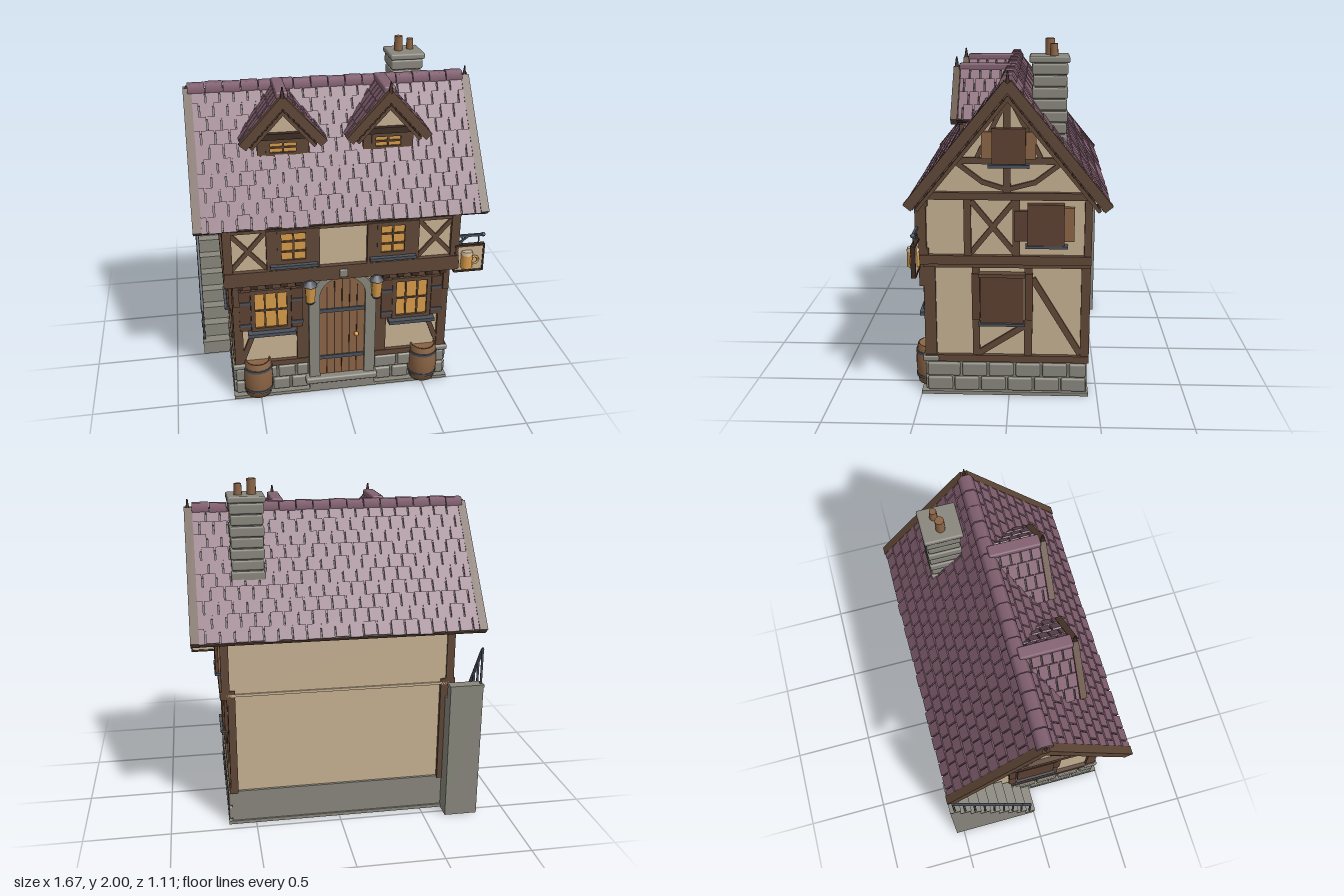
import * as THREE from 'three';
import { mergeGeometries } from 'three/addons/utils/BufferGeometryUtils.js';
import { RoundedBoxGeometry } from 'three/addons/geometries/RoundedBoxGeometry.js';

const M = {};
for (const [name, color] of Object.entries({
  plaster: 0xc6b092, timber: 0x5f4737, darkTimber: 0x3d2c22, panel: 0x5c4031, roofTile: 0x826070,
  stone: 0x88867c, wood: 0x8a6344, amber: 0xd79a48, iron: 0x4b515b,
})) M[name] = new THREE.MeshStandardMaterial({ name, color });

let seed = 7;
const rnd = () => (seed = (seed * 16807) % 2147483647) / 2147483647;

function add(g, name, mat, geo, x = 0, y = 0, z = 0) {
  const m = new THREE.Mesh(geo, M[mat]);
  m.name = name;
  m.position.set(x, y, z);
  g.add(m);
  return m;
}
function group(parent, name) {
  const g = new THREE.Group();
  g.name = name;
  parent.add(g);
  return g;
}
// Box given by its extents
function box(g, name, mat, x0, x1, y0, y1, z0, z1, round = 0) {
  const s = [Math.abs(x1 - x0), Math.abs(y1 - y0), Math.abs(z1 - z0)];
  const geo = round ? new RoundedBoxGeometry(...s, 1, round) : new THREE.BoxGeometry(...s);
  return add(g, name, mat, geo, (x0 + x1) / 2, (y0 + y1) / 2, (z0 + z1) / 2);
}
// Straight timber between two points of a wall plane
function bar(g, name, mat, x0, y0, x1, y1, w, z0, z1) {
  const m = add(g, name, mat, new THREE.BoxGeometry(Math.hypot(x1 - x0, y1 - y0), w, z1 - z0),
    (x0 + x1) / 2, (y0 + y1) / 2, (z0 + z1) / 2);
  m.rotation.z = Math.atan2(y1 - y0, x1 - x0);
  return m;
}
const cyl = (g, name, mat, r0, r1, h, x, y, z, n = 12) => add(g, name, mat, new THREE.CylinderGeometry(r0, r1, h, n), x, y, z);

// Rows of overlapping tiles in a plane: x across, z down the slope
function tiles(g, x0, x1, z0, z1, cols, rows) {
  const parts = [], w = (x1 - x0) / cols, h = (z1 - z0) / rows;
  for (let r = 0; r < rows; r++) {
    const shift = r % 2 ? w / 2 : 0;
    for (let c = 0; c <= cols; c++) {
      const a = Math.max(x0, x0 + c * w - shift), b = Math.min(x1, x0 + (c + 1) * w - shift);
      if (b - a < 0.01) continue;
      const len = h * (1.16 + rnd() * 0.16) - (r === rows - 1 ? h * 0.18 : 0);
      const t = new THREE.BoxGeometry(b - a - 0.008, 0.012, len);
      t.rotateX(0.09).translate((a + b) / 2, 0.013 + rnd() * 0.003, z0 + r * h + len / 2);
      parts.push(t);
    }
  }
  return add(g, 'roofTiles', 'roofTile', mergeGeometries(parts));
}

// Framed window with glazing bars and an iron sill
function windowUnit(g, cx, y0, y1, w, z, cols, rows, pane = 'amber') {
  const a = cx - w / 2, b = cx + w / 2;
  box(g, 'windowPane', pane, a, b, y0, y1, z, z + 0.012);
  for (const x of [a, b]) box(g, 'windowJamb', 'timber', x - 0.012, x + 0.012, y0, y1, z, z + 0.025);
  for (const y of [y0, y1]) box(g, 'windowRail', 'timber', a - 0.012, b + 0.012, y - 0.012, y + 0.012, z, z + 0.025);
  for (let i = 1; i < cols; i++) box(g, 'glazingBar', 'timber', a + w * i / cols - 0.005, a + w * i / cols + 0.005, y0, y1, z, z + 0.02);
  for (let i = 1; i < rows; i++) {
    const y = y0 + (y1 - y0) * i / rows;
    box(g, 'glazingBar', 'timber', a, b, y - 0.005, y + 0.005, z, z + 0.02);
  }
}

function archShape(r, y0, spring, top) {
  const s = new THREE.Shape();
  s.moveTo(-r, y0).lineTo(r, y0).lineTo(r, spring);
  s.absellipse(0, spring, r, top - spring, 0, Math.PI, false);
  return s.closePath();
}
const extrude = (s, depth) => new THREE.ExtrudeGeometry(s, { depth, bevelEnabled: false, curveSegments: 16 });

// Row of stone blocks along one wall
function stoneRows(g, u0, u1, z, n) {
  for (let r = 0; r < 2; r++) for (let i = 0; i < n; i++) {
    const w = (u1 - u0) / n, off = r ? w * 0.3 : 0;
    const a = u0 + i * w + (i ? off : 0), b = u0 + (i + 1) * w + (i < n - 1 ? off : 0);
    box(g, 'stoneBlock', 'stone', a + 0.006, b - 0.006, 0.025 + r * 0.088, 0.105 + r * 0.088, z - 0.02, z + 0.018, 0.01);
  }
}

function walls(root) {
  const g = group(root, 'walls');
  box(g, 'groundSlab', 'stone', -0.66, 0.66, 0, 0.02, -0.45, 0.5);
  box(g, 'stoneBase', 'stone', -0.64, 0.64, 0.02, 0.21, -0.44, 0.46);
  box(g, 'groundFloorWall', 'plaster', -0.625, 0.625, 0.2, 0.82, -0.425, 0.45);
  box(g, 'upperFloorWall', 'plaster', -0.655, 0.655, 0.81, 1.2, -0.44, 0.485);
  box(g, 'backLedge', 'plaster', -0.65, 0.65, 0.81, 0.825, -0.45, -0.43);
  const s = new THREE.Shape();
  s.moveTo(-0.45, 1.18).lineTo(0.45, 1.18).lineTo(0, 1.75).closePath();
  add(g, 'gableWall', 'plaster', extrude(s, 1.31).translate(0, 0, -0.655).rotateY(Math.PI / 2));
}

function front(root) {
  const g = group(root, 'frontWall');
  stoneRows(g, -0.65, -0.2, 0.46, 4);
  stoneRows(g, 0.2, 0.65, 0.46, 4);
  box(g, 'middleBeam', 'timber', -0.68, 0.68, 0.79, 0.88, 0.44, 0.515);
  box(g, 'eaveBeam', 'timber', -0.68, 0.68, 1.12, 1.17, 0.44, 0.505);
  for (let i = 0; i < 15; i++) {
    const x = -0.6 + i * 1.2 / 14;
    if (Math.abs(x) > 0.2) box(g, 'joistEnd', 'darkTimber', x - 0.02, x + 0.02, 0.76, 0.79, 0.44, 0.5);
  }
  for (const s of [-1, 1]) {
    // Ground floor bay
    box(g, 'cornerPost', 'timber', s * 0.64, s * 0.59, 0.2, 0.8, 0.42, 0.475);
    box(g, 'doorSidePost', 'timber', s * 0.2, s * 0.27, 0.2, 0.8, 0.44, 0.47);
    box(g, 'sillBeam', 'timber', s * 0.2, s * 0.64, 0.2, 0.235, 0.43, 0.475);
    box(g, 'topBeam', 'timber', s * 0.2, s * 0.64, 0.74, 0.8, 0.43, 0.47);
    bar(g, 'brace', 'timber', s * 0.6, 0.25, s * 0.53, 0.43, 0.03, 0.44, 0.468);
    box(g, 'cornerStone', 'stone', s * 0.54, s * 0.66, 0.2, 0.235, 0.4, 0.49, 0.01);
    windowUnit(g, s * 0.42, 0.47, 0.725, 0.21, 0.455, 3, 2);
    box(g, 'windowSill', 'iron', s * 0.28, s * 0.56, 0.44, 0.462, 0.45, 0.515);
    for (const x of [0.268, 0.572]) {
      box(g, 'shutter', 'panel', s * (x - 0.033), s * (x + 0.033), 0.47, 0.735, 0.455, 0.482);
      for (const y of [0.51, 0.66]) box(g, 'shutterStrap', 'iron', s * (x - 0.035), s * (x + 0.035), y - 0.009, y + 0.009, 0.48, 0.488);
    }
    bar(g, 'bracket', 'timber', s * 0.62, 0.65, s * 0.62, 0.79, 0.035, 0.46, 0.5);
    // Upper floor bay
    box(g, 'upperCornerPost', 'timber', s * 0.68, s * 0.635, 0.86, 1.15, 0.45, 0.51);
    bar(g, 'crossBrace', 'timber', s * 0.64, 0.89, s * 0.44, 1.12, 0.025, 0.48, 0.5);
    bar(g, 'crossBrace', 'timber', s * 0.64, 1.12, s * 0.44, 0.89, 0.025, 0.48, 0.498);
    windowUnit(g, s * 0.285, 0.93, 1.12, 0.16, 0.49, 2, 3);
    box(g, 'windowSill', 'iron', s * 0.15, s * 0.42, 0.9, 0.918, 0.48, 0.54);
    for (const x of [0.17, 0.405]) box(g, 'upperPost', 'timber', s * (x - 0.033), s * (x + 0.033), 0.88, 1.13, 0.48, 0.512);
    // Lantern
    cyl(g, 'lanternGlass', 'amber', 0.036, 0.028, 0.11, s * 0.195, 0.71, 0.515, 6);
    cyl(g, 'lanternCap', 'iron', 0.015, 0.045, 0.035, s * 0.195, 0.782, 0.515, 6);
    cyl(g, 'lanternBase', 'iron', 0.032, 0.022, 0.015, s * 0.195, 0.652, 0.515, 6);
    barrel(root, s * 0.51);
  }
  // Doorway
  const surround = archShape(0.2, 0.03, 0.62, 0.83);
  surround.holes.push(archShape(0.136, 0.1, 0.66, 0.79));
  add(g, 'doorSurround', 'stone', extrude(surround, 0.06), 0, 0, 0.435);
  add(g, 'door', 'wood', extrude(archShape(0.136, 0.1, 0.66, 0.79), 0.03), 0, 0, 0.445);
  for (const x of [-0.09, -0.045, 0, 0.045, 0.09]) box(g, 'plankGap', 'darkTimber', x - 0.003, x + 0.003, 0.11, 0.77 - x * x * 6, 0.472, 0.478);
  for (const y of [0.23, 0.56]) box(g, 'doorStrap', 'iron', -0.134, 0.134, y - 0.012, y + 0.012, 0.472, 0.483);
  add(g, 'doorKnob', 'amber', new THREE.SphereGeometry(0.015, 10, 8), 0.085, 0.385, 0.49);
  box(g, 'keystone', 'stone', -0.025, 0.025, 0.805, 0.855, 0.49, 0.525, 0.006);
  box(g, 'doorStep', 'stone', -0.2, 0.2, 0.02, 0.065, 0.45, 0.5);
  box(g, 'doorStepTop', 'stone', -0.225, 0.215, 0.065, 0.105, 0.45, 0.52, 0.01);
}

function barrel(root, x) {
  const g = group(root, 'barrel');
  g.position.set(x, 0.02, 0.46);
  const p = [[0, 0], [0.077, 0], [0.087, 0.06], [0.09, 0.117], [0.087, 0.175], [0.077, 0.235], [0.068, 0.235], [0.068, 0.22], [0, 0.22]];
  add(g, 'barrelStaves', 'wood', new THREE.LatheGeometry(p.map(a => new THREE.Vector2(...a)), 16));
  for (const y of [0.045, 0.19]) cyl(g, 'barrelHoop', 'iron', 0.089, 0.089, 0.016, 0, y, 0, 16);
}

// Gable end; u maps depth to the wall's own horizontal axis
function side(root, s) {
  const g = group(root, s > 0 ? 'leftGableEnd' : 'rightGableEnd');
  g.rotation.y = s * Math.PI / 2;
  const H = (n, z0, z1, y0, y1, d0, d1, m = 'timber') => box(g, n, m, -s * z0, -s * z1, y0, y1, d0, d1);
  const D = (n, z0, y0, z1, y1, d, w = 0.035) => bar(g, n, 'timber', -s * z0, y0, -s * z1, y1, w, d - 0.03, d);
  stoneRows(g, -s * (s > 0 ? 0.47 : -0.44), -s * (s > 0 ? -0.44 : 0.47), 0.64, 6);
  // Ground floor frame
  for (const [a, b] of [[0.475, 0.41], [0.205, 0.165], [-0.085, -0.13], [-0.4, -0.45]]) H('post', a, b, 0.2, 0.8, 0.6, 0.643);
  H('sillBeam', 0.475, -0.45, 0.2, 0.24, 0.6, 0.65);
  H('topBeam', 0.475, -0.45, 0.765, 0.8, 0.6, 0.65);
  D('brace', -0.13, 0.7, -0.4, 0.25, 0.64);
  D('brace', 0.17, 0.25, -0.09, 0.42, 0.64);
  H('closedShutter', 0.16, -0.08, 0.44, 0.72, 0.62, 0.665, 'panel');
  H('shutterFrame', 0.17, -0.09, 0.715, 0.735, 0.62, 0.675);
  H('windowSill', 0.17, -0.09, 0.43, 0.445, 0.62, 0.68, 'iron');
  for (const z of [0.185, -0.11]) H('openShutter', z + 0.022, z - 0.022, 0.46, 0.73, 0.62, 0.655, 'panel');
  // Upper floor frame
  H('middleBeam', 0.515, -0.45, 0.795, 0.845, 0.6, 0.685);
  for (const [a, b] of [[0.51, 0.465], [0.245, 0.205], [-0.02, -0.06], [-0.41, -0.45]]) H('upperPost', a, b, 0.83, 1.18, 0.63, 0.676);
  D('crossBrace', 0.205, 0.86, -0.03, 1.15, 0.672, 0.028);
  D('crossBrace', 0.205, 1.15, -0.03, 0.86, 0.67, 0.028);
  H('gableBeam', 0.5, -0.46, 1.16, 1.2, 0.63, 0.685);
  H('closedShutter', -0.1, -0.3, 0.91, 1.14, 0.65, 0.7, 'panel');
  H('windowSill', -0.09, -0.32, 0.895, 0.91, 0.65, 0.705, 'iron');
  H('openShutter', -0.3, -0.355, 0.93, 1.12, 0.65, 0.685, 'wood');
  H('openShutter', -0.03, -0.1, 0.93, 1.1, 0.65, 0.685, 'panel');
  // Gable frame
  H('kingPost', 0.03, -0.01, 1.2, 1.72, 0.63, 0.675);
  H('collarBeam', 0.31, -0.31, 1.355, 1.39, 0.63, 0.677);
  for (const t of [-1, 1]) {
    D('gableRafter', 0, 1.74, t * 0.455, 1.18, 0.672, 0.04);
    D('gableBrace', 0.01, 1.215, t * 0.14, 1.255, 0.673, 0.025);
    D('gableBrace', t * 0.135, 1.25, t * 0.28, 1.36, 0.673, 0.025);
    D('upperBrace', t * 0.02, 1.68, t * 0.17, 1.39, 0.671, 0.025);
    H('gableShutter', t * 0.09, t * 0.145, 1.385, 1.53, 0.65, 0.685, 'wood');
  }
  H('gableWindow', 0.09, -0.09, 1.36, 1.55, 0.65, 0.7, 'panel');
  H('gableWindowSill', 0.11, -0.11, 1.34, 1.357, 0.65, 0.71, 'iron');
}

function roof(root) {
  const g = group(root, 'roof');
  for (const back of [0, 1]) {
    const p = group(g, back ? 'backSlope' : 'frontSlope');
    p.position.y = 1.8;
    p.rotation.order = 'YXZ';
    p.rotation.set(Math.atan2(0.66, 0.54), back * Math.PI, 0);
    box(p, 'roofBoards', 'darkTimber', -0.8, 0.8, -0.025, 0.008, 0, 0.825);
    box(p, 'eaveBoard', 'timber', -0.81, 0.81, -0.035, 0.005, 0.81, 0.832);
    tiles(p, -0.79, 0.79, 0.01, 0.83, 20, 10);
    for (const s of [-1, 1]) {
      box(p, 'bargeBoard', 'timber', s * 0.785, s * 0.833, -0.03, 0.024, 0, 0.835);
      box(p, 'innerBargeBoard', 'timber', s * 0.78, s * 0.815, -0.06, -0.04, 0.05, 0.82);
      for (let i = 0; i < 11; i++) box(p, 'bargeBlock', 'darkTimber', s * 0.785, s * 0.825, -0.042, -0.028, 0.08 + i * 0.07, 0.1 + i * 0.07);
    }
  }
  for (let i = 0; i < 16; i++) {
    const c = add(g, 'ridgeTile', 'roofTile', new THREE.CylinderGeometry(0.045, 0.045, 0.096, 6), -0.76 + i * 0.1, 1.797 + (i % 2) * 0.004, 0);
    c.rotation.z = Math.PI / 2;
  }
  for (const s of [-1, 1]) cyl(g, 'finial', 'darkTimber', 0.004, 0.014, s > 0 ? 0.08 : 0.03, s * 0.812, s > 0 ? 1.82 : 1.81, 0, 8);
}

function dormer(root, cx) {
  const g = group(root, 'dormer');
  g.position.x = cx;
  const b = Math.atan2(0.26, 0.235);
  box(g, 'dormerBody', 'timber', -0.14, 0.14, 1.4, 1.62, 0.05, 0.262);
  const s = new THREE.Shape();
  s.moveTo(-0.19, 1.6).lineTo(0.19, 1.6).lineTo(0, 1.8).closePath();
  add(g, 'dormerGable', 'plaster', extrude(s, 0.2), 0, 0, 0.065);
  windowUnit(g, 0, 1.49, 1.57, 0.17, 0.262, 2, 2);
  box(g, 'dormerLintel', 'darkTimber', -0.14, 0.14, 1.58, 1.615, 0.2, 0.295);
  for (const t of [-1, 1]) {
    box(g, 'dormerPost', 'timber', t * 0.095, t * 0.145, 1.47, 1.6, 0.22, 0.282);
    const p = group(g, 'dormerSlope');
    p.position.y = 1.82;
    p.rotation.z = -t * b;
    box(p, 'dormerBoards', 'darkTimber', 0, t * 0.345, -0.025, 0.005, 0, 0.29);
    const q = group(p, 'dormerTiles');
    q.rotation.y = t * Math.PI / 2;
    tiles(q, t > 0 ? -0.285 : 0, t > 0 ? 0 : 0.285, 0, 0.345, 5, 4);
    box(p, 'dormerBargeBoard', 'timber', 0, t * 0.35, -0.035, 0.015, 0.285, 0.322);
    box(p, 'dormerInnerBoard', 'timber', 0, t * 0.33, -0.065, -0.045, 0.26, 0.31);
    for (let i = 0; i < 7; i++) box(p, 'dormerBlock', 'darkTimber', t * (0.05 + i * 0.042), t * (0.068 + i * 0.042), -0.047, -0.03, 0.27, 0.318);
  }
  box(g, 'dormerRidge', 'roofTile', -0.034, 0.034, 1.81, 1.85, 0, 0.29, 0.01);
  cyl(g, 'dormerFinial', 'darkTimber', 0.004, 0.016, 0.08, 0, 1.845, 0.305, 8);
}

function chimney(root) {
  const g = group(root, 'chimney');
  box(g, 'chimneyCore', 'stone', 0.415, 0.575, 1.44, 1.89, -0.295, -0.135);
  for (let i = 0; i < 7; i++) {
    const e = i % 2 ? 0.004 : 0.009, y = 1.44 + i * 0.063;
    box(g, 'chimneyCourse', 'stone', 0.408 - e, 0.582 + e, y, y + 0.057, -0.302 - e, -0.128 + e, 0.01);
  }
  box(g, 'chimneyCap', 'stone', 0.39, 0.6, 1.88, 1.915, -0.32, -0.105, 0.01);
  cyl(g, 'chimneyPot', 'wood', 0.025, 0.027, 0.1, 0.46, 1.95, -0.215);
  cyl(g, 'chimneyPot', 'wood', 0.02, 0.023, 0.075, 0.535, 1.94, -0.235);
}

function stairs(root) {
  const g = group(root, 'outsideStairs');
  const n = 9, d = 0.55 / n, rise = 0.83 / n, x = -0.818;
  for (let i = 0; i < n; i++) {
    box(g, 'step', 'stone', -0.825, -0.63, 0, rise * (i + 1), -i * d, -(i + 1) * d);
    box(g, 'stepNosing', 'stone', -0.83, -0.63, rise * (i + 1) - 0.015, rise * (i + 1) + 0.002, -i * d + 0.006, -(i + 1) * d);
    cyl(g, 'railPost', 'iron', 0.007, 0.007, 0.22, x, rise * (i + 1) + 0.11, -(i + 0.5) * d, 8);
  }
  const rail = new THREE.LineCurve3(new THREE.Vector3(x, rise + 0.21, -0.5 * d), new THREE.Vector3(x, 1.045, -(n - 0.5) * d));
  add(g, 'handRail', 'iron', new THREE.TubeGeometry(rail, 1, 0.01, 8));
}

function sign(root) {
  const g = group(root, 'hangingSign');
  box(g, 'signBoard', 'plaster', 0.665, 0.83, 0.775, 0.935, 0.492, 0.508);
  for (const y of [0.772, 0.938]) box(g, 'signFrame', 'darkTimber', 0.658, 0.837, y - 0.006, y + 0.006, 0.487, 0.513);
  for (const x of [0.662, 0.832]) box(g, 'signFrame', 'darkTimber', x - 0.005, x + 0.005, 0.772, 0.938, 0.487, 0.513);
  cyl(g, 'mug', 'amber', 0.033, 0.036, 0.085, 0.73, 0.845, 0.515);
  cyl(g, 'mugFoam', 'plaster', 0.03, 0.037, 0.02, 0.73, 0.897, 0.515);
  add(g, 'mugHandle', 'amber', new THREE.TorusGeometry(0.024, 0.007, 6, 14), 0.775, 0.845, 0.518);
  bar(g, 'signArm', 'iron', 0.65, 1.0, 0.83, 1.0, 0.014, 0.493, 0.507);
  bar(g, 'signStrut', 'iron', 0.67, 0.945, 0.74, 1.0, 0.01, 0.495, 0.505);
  add(g, 'armTip', 'iron', new THREE.SphereGeometry(0.013, 8, 6), 0.825, 1.0, 0.5);
  for (const x of [0.7, 0.8]) bar(g, 'signHanger', 'iron', x, 0.94, x, 1.0, 0.007, 0.497, 0.503);
}

export function createModel() {
  const root = new THREE.Group();
  root.name = 'timberFramedInn';
  walls(root);
  front(root);
  for (const s of [-1, 1]) side(root, s);
  roof(root);
  for (const x of [-0.305, 0.295]) dormer(root, x);
  chimney(root);
  stairs(root);
  sign(root);
  return root;
}
